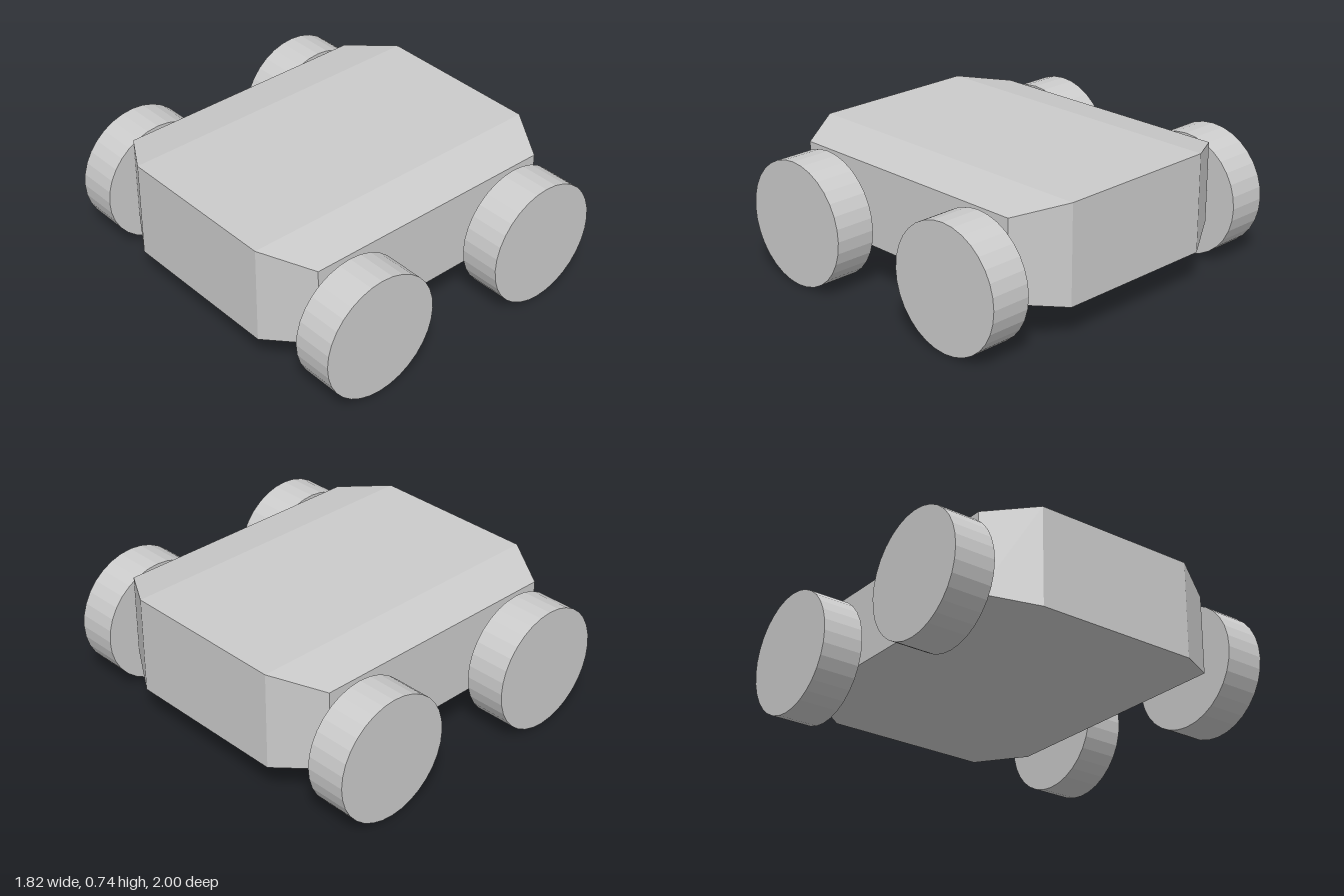
import * as THREE from 'three';

const material = new THREE.MeshStandardMaterial({ color: 0xcccccc, flatShading: true });

// Box with three segments along z; its end faces taper in on all sides
function makeBody() {
  const geometry = new THREE.BoxGeometry(2, 2, 2, 1, 1, 3);
  const p = geometry.attributes.position;
  for (let i = 0; i < p.count; i++) {
    const z = p.getZ(i);
    const end = Math.abs(z) > 0.9;
    p.setXYZ(
      i,
      p.getX(i) * (end ? 0.745 : 0.91),
      p.getY(i) * (end ? 0.225 : 0.275),
      Math.sign(z) * (end ? 0.745 : 0.475)
    );
  }
  geometry.computeVertexNormals();
  const body = new THREE.Mesh(geometry, material);
  body.name = 'body';
  body.position.y = 0.465;
  return body;
}

export function createModel() {
  const group = new THREE.Group();
  group.name = 'fourWheeledCart';
  group.add(makeBody());

  // Four solid disc wheels, axles along z
  const wheelGeometry = new THREE.CylinderGeometry(0.345, 0.345, 0.23, 32).rotateX(Math.PI / 2);
  for (const [side, sx] of [['Left', 1], ['Right', -1]]) {
    for (const [end, sz] of [['front', 1], ['back', -1]]) {
      const wheel = new THREE.Mesh(wheelGeometry, material);
      wheel.name = `${end}${side}Wheel`;
      wheel.position.set(sx * 0.565, 0.345, sz * 0.885);
      group.add(wheel);
    }
  }
  return group;
}
